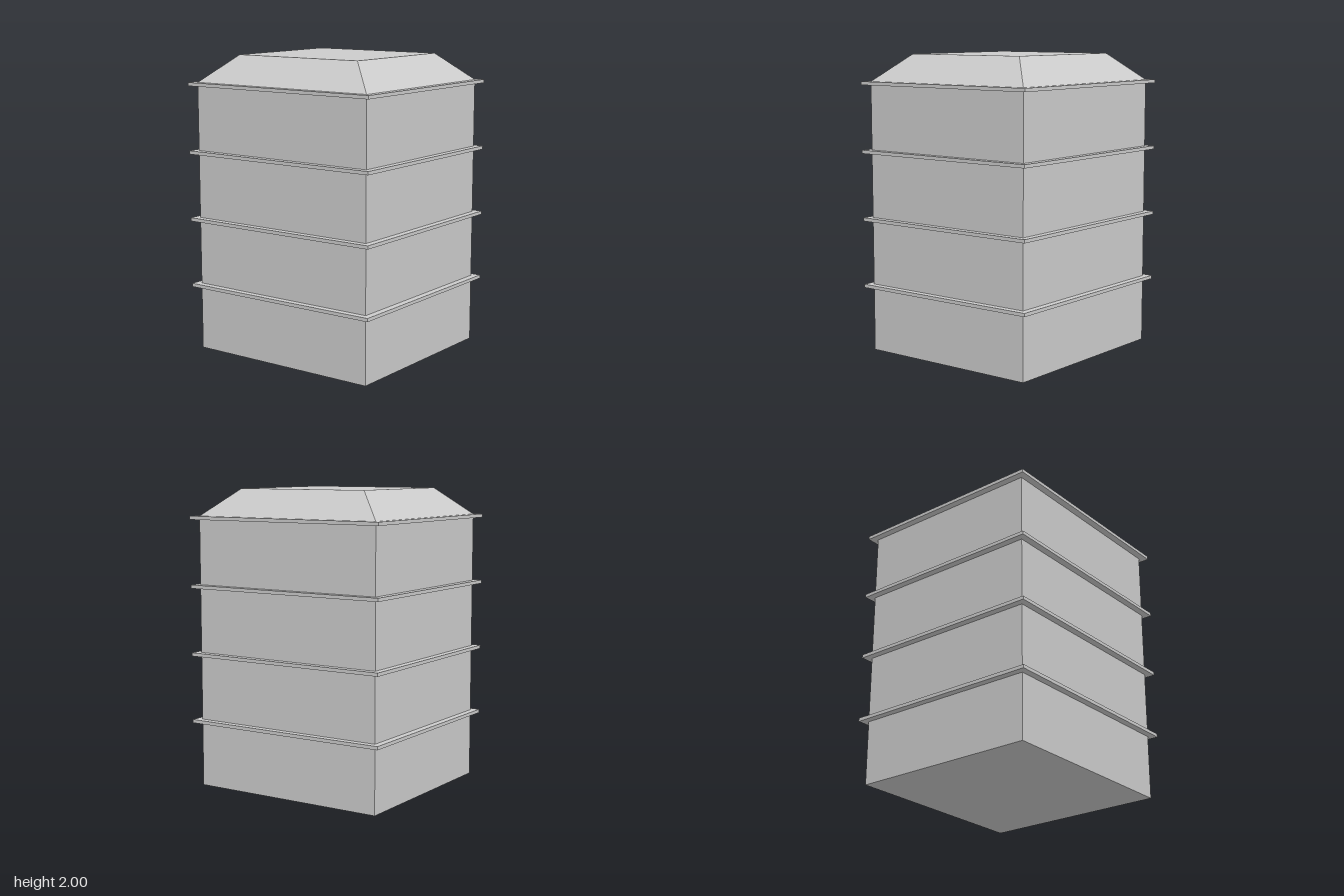
import * as THREE from 'three';

const material = new THREE.MeshStandardMaterial({ color: 0xcccccc, flatShading: true });

// Block standing on height y0, with its top face scaled by the given factor.
function block(name, width, depth, y0, y1, topScale = 1) {
  const geometry = new THREE.BoxGeometry(width, y1 - y0, depth);
  const p = geometry.attributes.position;
  for (let i = 0; i < p.count; i++) {
    if (p.getY(i) > 0) {
      p.setX(i, p.getX(i) * topScale);
      p.setZ(i, p.getZ(i) * topScale);
    }
  }
  geometry.translate(0, (y0 + y1) / 2, 0);
  geometry.computeVertexNormals();
  const mesh = new THREE.Mesh(geometry, material);
  mesh.name = name;
  return mesh;
}

export function createModel() {
  const group = new THREE.Group();
  group.name = 'building';

  const width = 1.364, depth = 1.274;
  const storey = 0.455, storeys = 4;
  const eaves = storey * storeys;

  // Plain walls over all storeys
  group.add(block('walls', width, depth, 0, eaves));

  // Thin projecting ledge at the top of each storey
  for (let i = 1; i <= storeys; i++) {
    group.add(block('ledge' + i, width + 0.092, depth + 0.092, i * storey - 0.023, i * storey));
  }

  // Flat-topped hipped roof
  group.add(block('roof', width, depth, eaves, 2, 0.7));

  return group;
}
